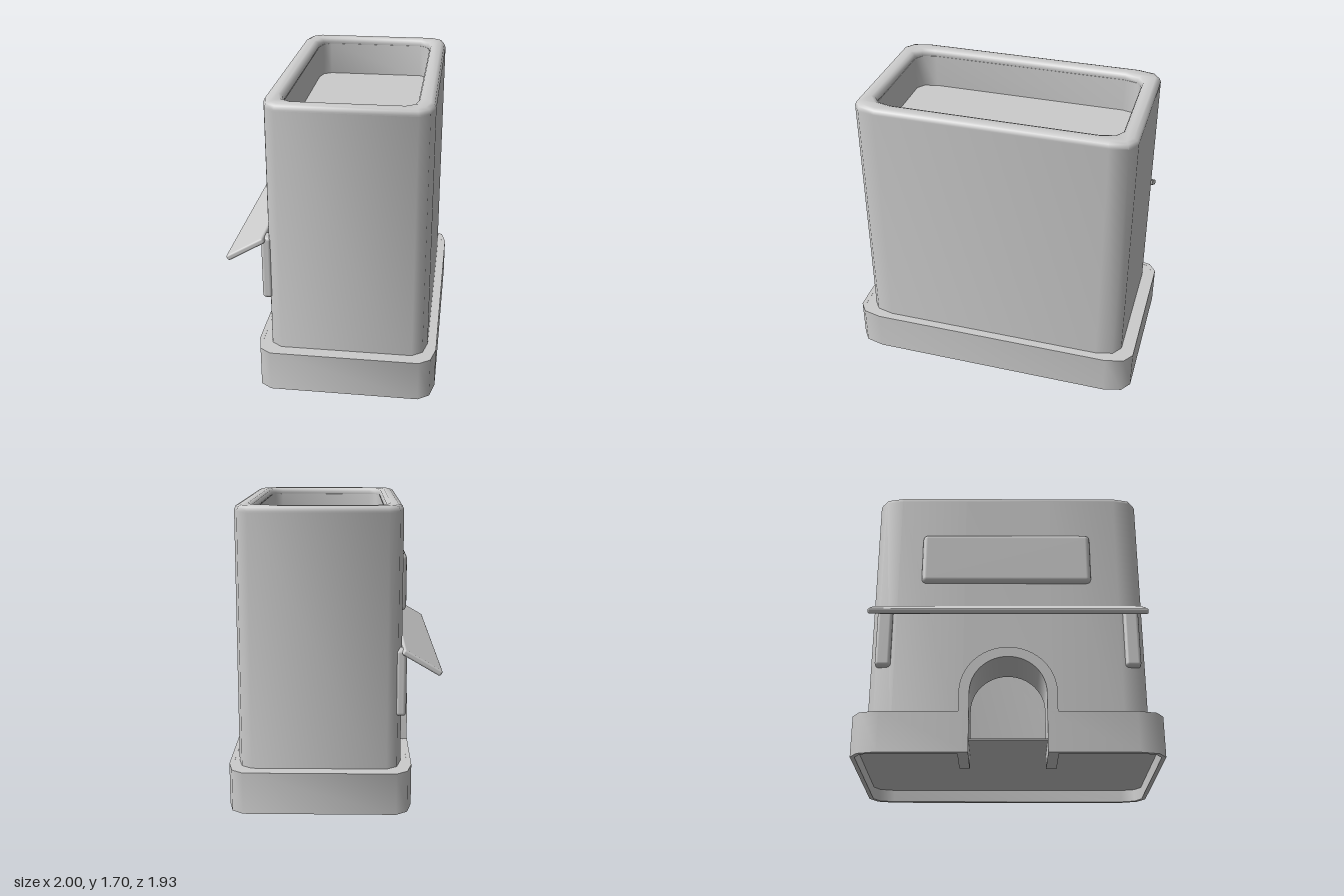
import * as THREE from 'three';
import { toCreasedNormals } from 'three/addons/utils/BufferGeometryUtils.js';
import { RoundedBoxGeometry } from 'three/addons/geometries/RoundedBoxGeometry.js';

const material = new THREE.MeshStandardMaterial({ color: 0xcccccc, side: THREE.DoubleSide });

// Outline of a rectangle with stretched two-sided corners, from back left round to back right
function outline(hw, hd, r) {
  const rx = r * 1.25, ry = r * 0.73;
  const signs = [[-1, 1], [-1, -1], [1, -1], [1, 1]];
  const pts = [];
  signs.forEach(([sx, sy], k) => {
    for (let i = 0; i <= 2; i++) {
      const a = Math.PI / 2 * (1 + k + i / 2);
      pts.push(new THREE.Vector2(sx * (hw - rx) + rx * Math.cos(a), sy * (hd - ry) + ry * Math.sin(a)));
    }
  });
  return pts;
}

// Wall plan, closed or with a door gap of half width g at the back
function wallShape(hw, hd, r, t, g = 0) {
  const outer = outline(hw, hd, r);
  const inner = outline(hw - t, hd - t, Math.max(r - t, 0.09));
  if (!g) {
    const ring = new THREE.Shape(outer);
    ring.holes.push(new THREE.Path(inner));
    return ring;
  }
  const v = (x, y) => new THREE.Vector2(x, y);
  return new THREE.Shape([v(-g, hd), ...outer, v(g, hd), v(g, hd - t), ...inner.reverse(), v(-g, hd - t)]);
}

export function createModel() {
  const group = new THREE.Group();
  const building = new THREE.Group();
  building.name = 'building';
  building.rotation.y = 0.681;
  group.add(building);

  function add(name, geometry, x = 0, y = 0, z = 0) {
    const mesh = new THREE.Mesh(geometry, material);
    mesh.name = name;
    mesh.position.set(x, y, z);
    building.add(mesh);
    return mesh;
  }

  // Extrudes a plan upwards from y0 to y1, with an optional rounded edge
  function addPlan(name, shape, y0, y1, z, bevel = 0) {
    const geo = new THREE.ExtrudeGeometry(shape, {
      depth: y1 - y0 - 2 * bevel, bevelEnabled: bevel > 0, bevelSize: bevel,
      bevelThickness: bevel, bevelOffset: -bevel, bevelSegments: 2
    });
    geo.rotateX(-Math.PI / 2);
    return add(name, toCreasedNormals(geo, 1.05), 0, y0 + bevel, z);
  }

  const baseZ = 0.071, bodyZ = 0.075, door = 0.22, frame = 0.28, spring = 0.355;
  const gap = frame - 0.02, wallTop = 1.665;

  // Plinth: outer wall, top ledge and raised floor
  addPlan('plinthWall', wallShape(0.88, 0.516, 0.124, 0.025, door), 0, 0.24, baseZ);
  addPlan('plinthLedge', wallShape(0.87, 0.506, 0.12, 0.1, door), 0.2, 0.239, baseZ);
  addPlan('floor', new THREE.Shape(outline(0.86, 0.496, 0.1)), 0.075, 0.085, baseZ);

  // Body: thin outer walls with a gap for the doorway, topped by a soft rim
  addPlan('outerWalls', wallShape(0.802, 0.461, 0.115, 0.025, gap), 0.085, wallTop, bodyZ);
  addPlan('rim', wallShape(0.802, 0.461, 0.115, 0.1), 1.635, 1.7, bodyZ, 0.03);

  // Sunken roof inside the rim
  addPlan('roofLining', wallShape(0.785, 0.444, 0.11, 0.083), 1.44, 1.66, bodyZ);
  addPlan('roof', new THREE.Shape(outline(0.75, 0.41, 0.08)), 1.43, 1.46, bodyZ);

  // Back wall above the arch
  const fill = new THREE.Shape();
  fill.moveTo(-gap, spring);
  fill.absarc(0, spring, gap, Math.PI, 0, true);
  fill.lineTo(gap, wallTop);
  fill.lineTo(-gap, wallTop);
  const fillGeo = new THREE.ExtrudeGeometry(fill, { depth: 0.025, bevelEnabled: false, curveSegments: 12 });
  add('wallAboveDoor', fillGeo, 0, 0, bodyZ - 0.461);

  // Arched door frame reaching into the room
  const arch = new THREE.Shape();
  arch.moveTo(frame, 0);
  arch.lineTo(frame, spring);
  arch.absarc(0, spring, frame, 0, Math.PI, false);
  arch.lineTo(-frame, 0);
  arch.lineTo(-door, 0);
  arch.lineTo(-door, spring);
  arch.absarc(0, spring, door, Math.PI, 0, true);
  arch.lineTo(door, 0);
  const archGeo = new THREE.ExtrudeGeometry(arch, { depth: 0.3, bevelEnabled: false, curveSegments: 12 });
  add('doorFrame', toCreasedNormals(archGeo, 0.6), 0, 0, -0.443);

  // Sloping awning and its two wall brackets
  add('awning', new RoundedBoxGeometry(1.6, 0.034, 0.245, 2, 0.012), 0, 0.849, -0.492).rotation.x = -0.53;
  for (const side of [-1, 1]) {
    add('awningBracket', new RoundedBoxGeometry(0.09, 0.38, 0.06, 2, 0.02), side * 0.725, 0.725, -0.379);
  }

  // Blank sign board above the awning
  add('signBoard', new RoundedBoxGeometry(1.02, 0.33, 0.07, 2, 0.03), 0.01, 1.245, -0.38);

  return group;
}
